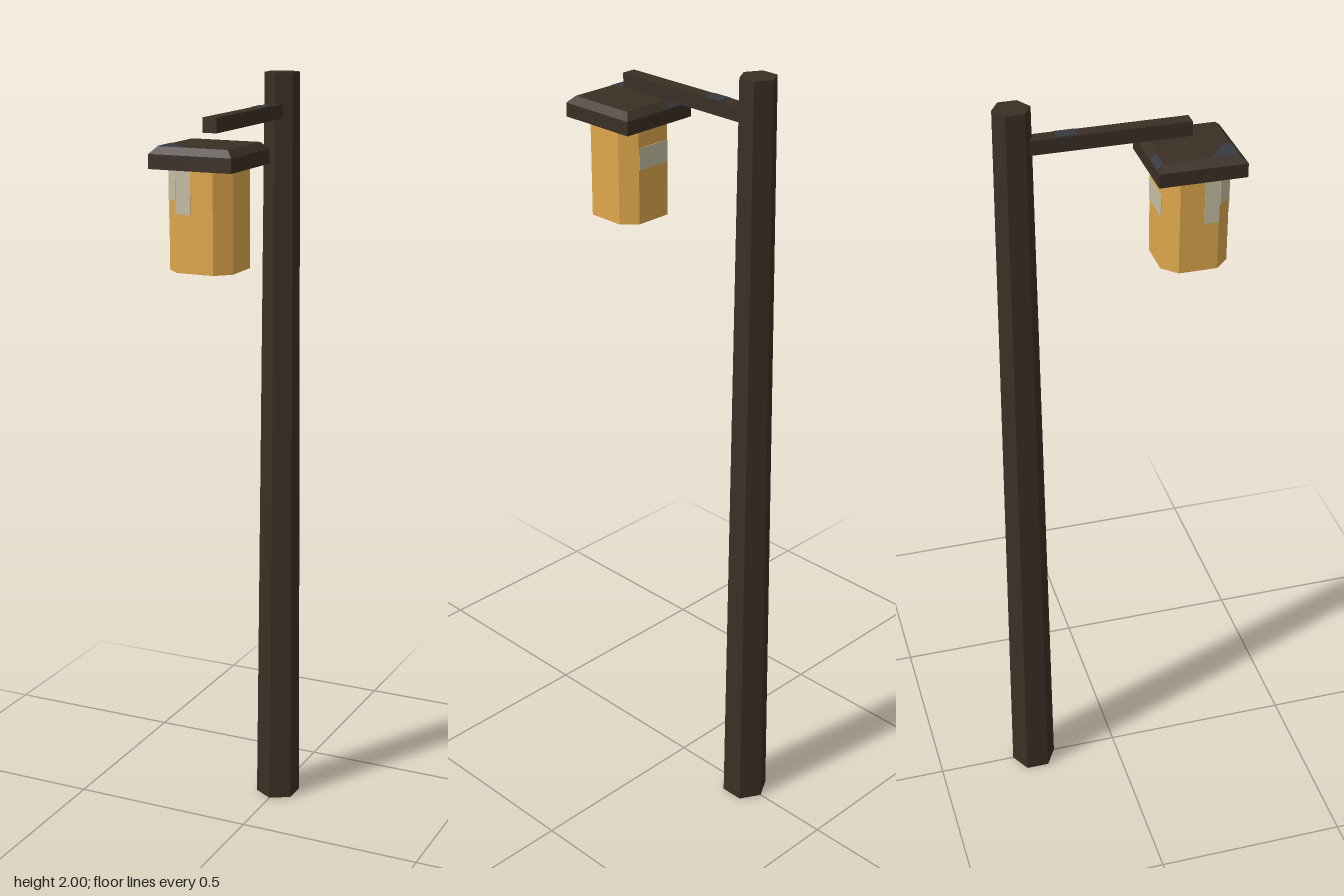
import * as THREE from 'three';

export function createModel() {
  const model = new THREE.Group();
  const material = (name, color) => {
    const m = new THREE.MeshStandardMaterial({ color, flatShading: true });
    m.name = name;
    return m;
  };
  const wood = material('dark wood', 0x3a2f24);
  const slate = material('slate patch', 0x383a42);
  const amber = material('amber glass', 0xdfa84c);
  const pale = material('pale glass', 0xc6bfa4);

  const add = (name, geometry, mat, x, y, z, parent = model) => {
    const mesh = new THREE.Mesh(geometry, mat);
    mesh.name = name;
    mesh.position.set(x, y, z);
    parent.add(mesh);
    return mesh;
  };

  // Tapered six-sided post with the bracket reaching forward
  add('post', new THREE.CylinderGeometry(0.045, 0.06, 2, 6), wood, 0, 1, -0.235);
  add('arm', new THREE.BoxGeometry(0.036, 0.036, 0.422), wood, 0, 1.905, -0.024);
  add('armPatch', new THREE.BoxGeometry(0.034, 0.002, 0.05), slate, 0, 1.9235, -0.11);

  const lantern = new THREE.Group();
  lantern.name = 'lantern';
  lantern.position.z = 0.188;
  model.add(lantern);

  // Square cap with a chamfered upper edge
  const profile = [[0, 1.81], [0.107, 1.81], [0.107, 1.845], [0.09, 1.862], [0, 1.862]]
    .map(([half, y]) => new THREE.Vector2(half * Math.SQRT2, y));
  const capShape = new THREE.LatheGeometry(profile, 4, Math.PI / 4).toNonIndexed();
  capShape.computeVertexNormals();
  add('cap', capShape, wood, 0, 0, 0, lantern);

  // Patch on the front left corner of the cap
  const corner = new THREE.Shape([[-0.09, -0.09], [-0.03, -0.09], [-0.03, -0.07], [-0.09, -0.022]]
    .map(([x, y]) => new THREE.Vector2(x, y)));
  const cornerPatch = add('capPatch', new THREE.ExtrudeGeometry(corner, { depth: 0.002, bevelEnabled: false }),
    slate, 0, 1.861, 0, lantern);
  cornerPatch.rotation.x = -Math.PI / 2;

  // Patch lying on the rear chamfer of the cap
  const rear = add('capRearPatch', new THREE.BoxGeometry(0.058, 0.002, 0.02), slate, -0.06, 1.8538, -0.0988, lantern);
  rear.rotation.x = -Math.PI / 4;

  // Glass body: a square with cut corners
  const a = 0.083, b = 0.048;
  const outline = new THREE.Shape([[b, -a], [a, -b], [a, b], [b, a], [-b, a], [-a, b], [-a, -b], [-b, -a]]
    .map(([x, y]) => new THREE.Vector2(x, y)));
  const body = add('glass', new THREE.ExtrudeGeometry(outline, { depth: 0.246, bevelEnabled: false }),
    amber, 0, 1.566, 0, lantern);
  body.rotation.x = -Math.PI / 2;

  // Pale panes: angle about the axis, distance out, sideways offset, width, bottom, top
  const cut = (a + b) / Math.SQRT2;
  const panes = [
    [0, a, -0.029, 0.038, 1.705, 1.81],
    [-Math.PI / 4, cut, 0, 0.048, 1.735, 1.81],
    [-Math.PI / 2, a, 0.03, 0.036, 1.69, 1.81],
    [Math.PI, a, 0, 0.096, 1.705, 1.76],
  ];
  for (const [angle, out, side, width, low, high] of panes) {
    const pane = add('glassPane', new THREE.BoxGeometry(width, high - low, 0.003), pale,
      Math.sin(angle) * out + Math.cos(angle) * side, (low + high) / 2,
      Math.cos(angle) * out - Math.sin(angle) * side, lantern);
    pane.rotation.y = angle;
  }

  return model;
}
